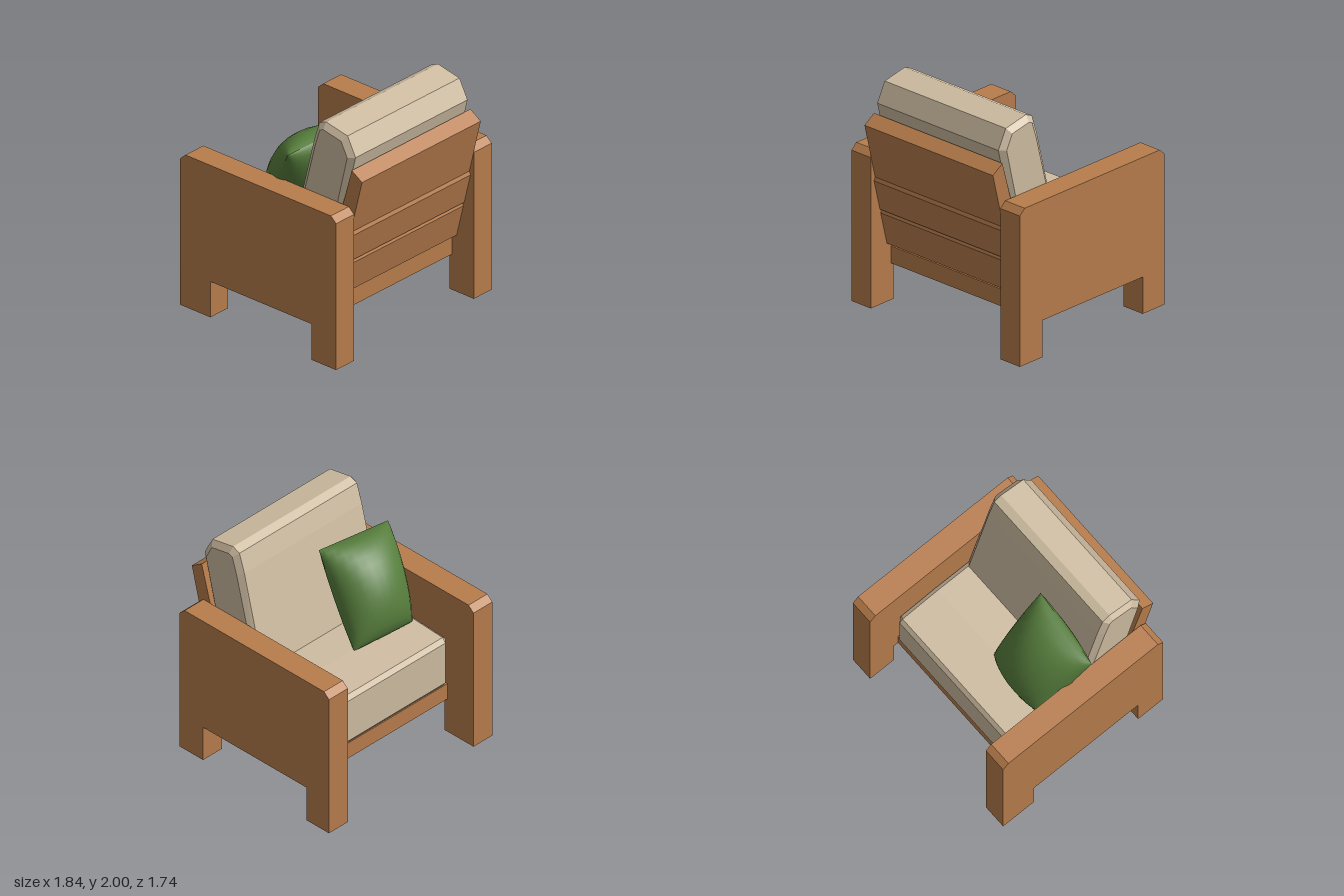
import * as THREE from 'three';

const material = (name, color) => {
  const m = new THREE.MeshStandardMaterial({ color });
  m.name = name;
  return m;
};

// Extrudes a side profile of [z, y] points along x, centred on cx, with optional bevelled ends
function sideExtrude(points, width, cx = 0, bevel = 0, inset = bevel) {
  const shape = new THREE.Shape(points.map(([z, y]) => new THREE.Vector2(z, y)));
  const depth = width - 2 * bevel;
  const g = new THREE.ExtrudeGeometry(shape, {
    depth, bevelEnabled: bevel > 0, bevelThickness: bevel,
    bevelSize: inset, bevelOffset: -inset, bevelSegments: 1,
  });
  g.translate(0, 0, -depth / 2);
  g.rotateY(-Math.PI / 2);
  g.translate(cx, 0, 0);
  return g;
}

// Puffed pillow: two bulging sheets spanning the same four corners
function pillowGeometry(corners, front, back) {
  const [tl, tr, bl, br] = corners.map(c => new THREE.Vector3(...c));
  const n = 14;
  const normal = tr.clone().add(br).sub(tl).sub(bl)
    .cross(tl.clone().add(tr).sub(bl).sub(br)).normalize();
  const pos = [], idx = [];
  for (const bulge of [front, -back]) {
    const start = pos.length / 3;
    for (let j = 0; j <= n; j++) {
      for (let i = 0; i <= n; i++) {
        const u = -Math.cos(Math.PI * i / n), v = -Math.cos(Math.PI * j / n);
        const bottom = bl.clone().lerp(br, (u + 1) / 2);
        const p = bottom.lerp(tl.clone().lerp(tr, (u + 1) / 2), (v + 1) / 2);
        const puff = Math.sqrt(Math.max(0, (1 - u * u) * (1 - v * v)));
        p.addScaledVector(normal, bulge * puff);
        pos.push(p.x, p.y, p.z);
        if (i < n && j < n) {
          const a = start + j * (n + 1) + i, b = a + 1, c = a + n + 1, d = c + 1;
          if (bulge > 0) idx.push(a, b, d, a, d, c);
          else idx.push(a, d, b, a, c, d);
        }
      }
    }
  }
  const g = new THREE.BufferGeometry();
  g.setAttribute('position', new THREE.Float32BufferAttribute(pos, 3));
  g.setIndex(idx);
  g.computeVertexNormals();
  return g;
}

export function createModel() {
  const model = new THREE.Group();
  model.name = 'armchair';
  const wood = material('wood', 0xb87d4c);
  const fabric = material('beige fabric', 0xcfbda2);
  const green = material('green fabric', 0x567d3c);
  const add = (name, geometry, mat) => {
    const mesh = new THREE.Mesh(geometry, mat);
    mesh.name = name;
    model.add(mesh);
  };

  // Side panels with legs and chamfered top corners
  for (const side of [1, -1]) {
    const legZ = side > 0 ? -0.62 : -0.55;
    add(side > 0 ? 'leftArm' : 'rightArm', sideExtrude([
      [-0.87, 0], [legZ, 0], [legZ, 0.32], [0.53, 0.32], [0.53, 0], [0.79, 0],
      [0.79, 1.31], [0.735, 1.36], [-0.815, 1.36], [-0.87, 1.31],
    ], 0.212, side * 0.815), wood);
  }

  // Seat base
  const base = new THREE.BoxGeometry(1.42, 0.15, 1.14);
  base.translate(0, 0.395, -0.01);
  add('seatBase', base, wood);

  // Reclined back boards
  const outer = y => 0.87 + 0.25 * (y - 1.62);
  const inner = y => 0.76 + 0.28 * (y - 1.69);
  for (const [name, low, high, out] of [
    ['lowerBackBoard', 0.51, 0.828, 0.02], ['middleBackBoard', 0.832, 1.13, 0.02],
    ['topBackBoard', 1.13, 1.69, 0],
  ]) {
    const drop = out ? 0.03 : 0.07;
    add(name, sideExtrude([
      [inner(low), low], [outer(low) + out, low],
      [outer(high - drop) + out, high - drop], [out ? outer(high) : inner(high), high],
      [inner(high), high - (out ? 0.001 : 0.002)],
    ], 1.405), wood);
  }

  // Seat cushion
  add('seatCushion', sideExtrude([
    [-0.57, 0.47], [0.42, 0.47], [0.45, 0.52], [0.45, 0.9], [0.38, 0.95],
    [-0.2, 0.96], [-0.57, 0.94], [-0.6, 0.9], [-0.6, 0.51],
  ], 1.4, 0, 0.035, 0.03), fabric);

  // Back cushion
  add('backCushion', sideExtrude([
    [0.1, 0.9], [0.55, 0.9], [0.765, 1.79], [0.68, 1.955],
    [0.45, 2.0], [0.38, 1.97], [0.325, 1.8],
  ], 1.405, 0, 0.04, 0.05), fabric);

  // Throw pillow leaning on the back cushion
  add('throwPillow', pillowGeometry([
    [-0.08, 1.69, 0.23], [-0.79, 1.65, 0.16],
    [-0.03, 0.95, -0.21], [-0.64, 0.95, -0.26],
  ], 0.26, 0.16), green);

  return model;
}
